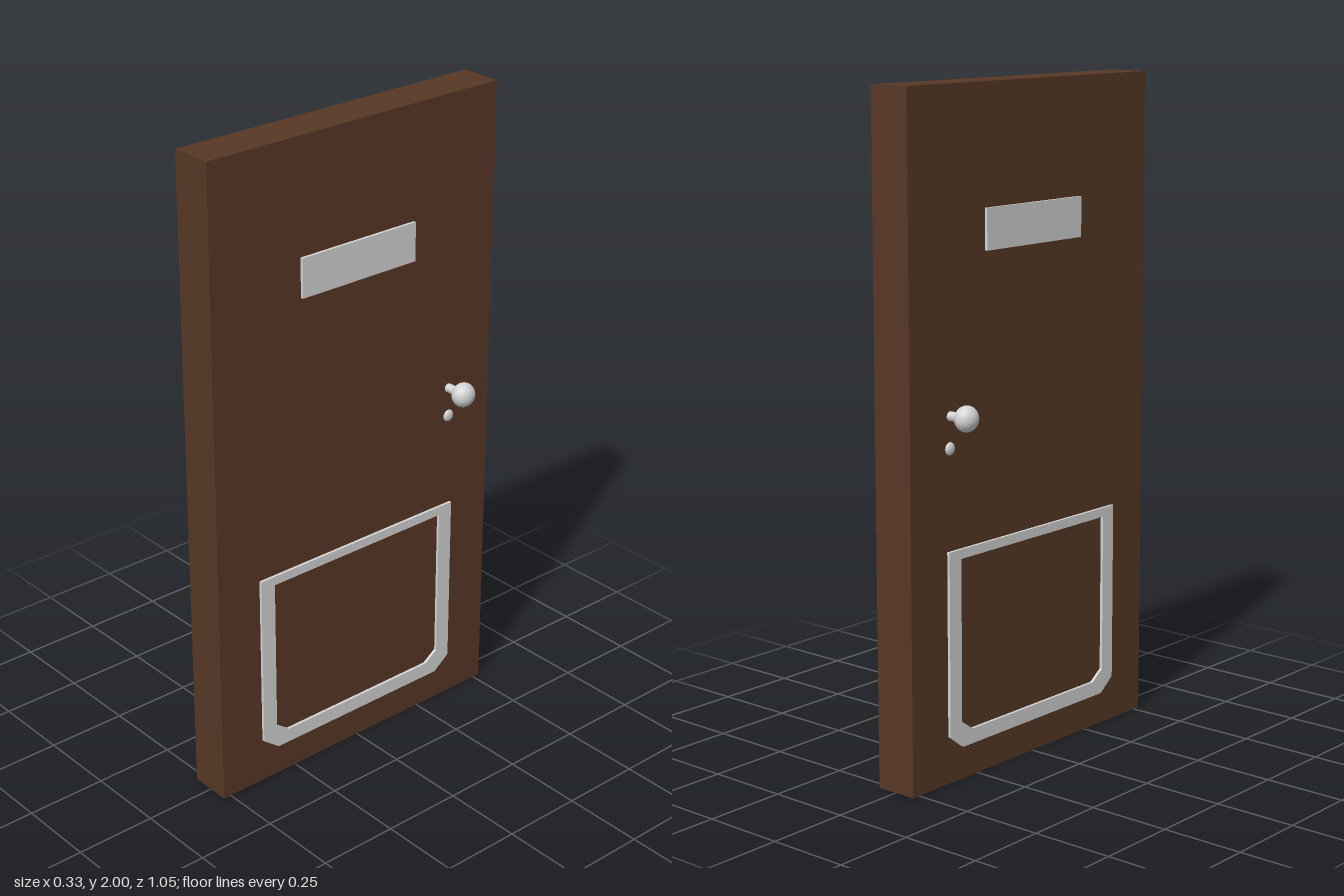
import * as THREE from 'three';

const DOOR_X = -0.002; // centre of the slab's thickness
const HALF = 0.066;
const KNOB_Y = 1.08, KNOB_Z = -0.36;

export function createModel() {
  const wood = new THREE.MeshStandardMaterial({ name: 'brown wood', color: 0x583826 });
  const metal = new THREE.MeshStandardMaterial({ name: 'pale metal', color: 0xd4d4d4 });
  const model = new THREE.Group();
  model.name = 'door';

  const add = (name, geometry, material, x, y, z) => {
    const mesh = new THREE.Mesh(geometry, material);
    mesh.name = name;
    mesh.position.set(x, y, z);
    model.add(mesh);
    return mesh;
  };

  // Rectangle with its two lower corners cut off
  const outline = (w, bottom, top, cutW, cutH) => [
    [-w, top], [-w, bottom + cutH], [-w + cutW, bottom],
    [w - cutW, bottom], [w, bottom + cutH], [w, top],
  ].map(([x, y]) => new THREE.Vector2(x, y));

  // Door slab
  add('slab', new THREE.BoxGeometry(HALF * 2, 2, 1.05), wood, DOOR_X, 1, 0);

  // Raised frame around the flap, drawn in z-y and extruded along x
  const frameShape = new THREE.Shape(outline(0.375, 0.1, 0.69, 0.055, 0.042));
  frameShape.holes.push(new THREE.Path(outline(0.325, 0.145, 0.662, 0.045, 0.032)));
  const depth = 0.009;
  const frame = new THREE.ExtrudeGeometry(frameShape, { depth, bevelEnabled: false });
  frame.translate(0, 0, -depth / 2).rotateY(-Math.PI / 2);

  const letterPlate = new THREE.BoxGeometry(depth, 0.12, 0.42);
  const stem = new THREE.CylinderGeometry(0.014, 0.014, 0.06, 16).rotateZ(Math.PI / 2);
  const knob = new THREE.SphereGeometry(1, 24, 16).rotateZ(Math.PI / 2).scale(0.033, 0.038, 0.038);
  const lock = new THREE.SphereGeometry(1, 16, 10).rotateZ(Math.PI / 2).scale(0.01, 0.019, 0.019);

  // Fittings repeated on both faces
  for (const [label, side] of [['left', 1], ['right', -1]]) {
    const face = DOOR_X + side * HALF;
    const plateX = face + side * depth / 2;
    add(`${label} flap frame`, frame, metal, plateX, 0, 0);
    add(`${label} letter plate`, letterPlate, metal, plateX, 1.59, 0);
    add(`${label} knob stem`, stem, metal, side * 0.083, KNOB_Y, KNOB_Z);
    add(`${label} knob`, knob, metal, side * 0.13, KNOB_Y, KNOB_Z);
    add(`${label} lock`, lock, metal, face, 0.987, KNOB_Z - 0.002);
  }
  return model;
}
